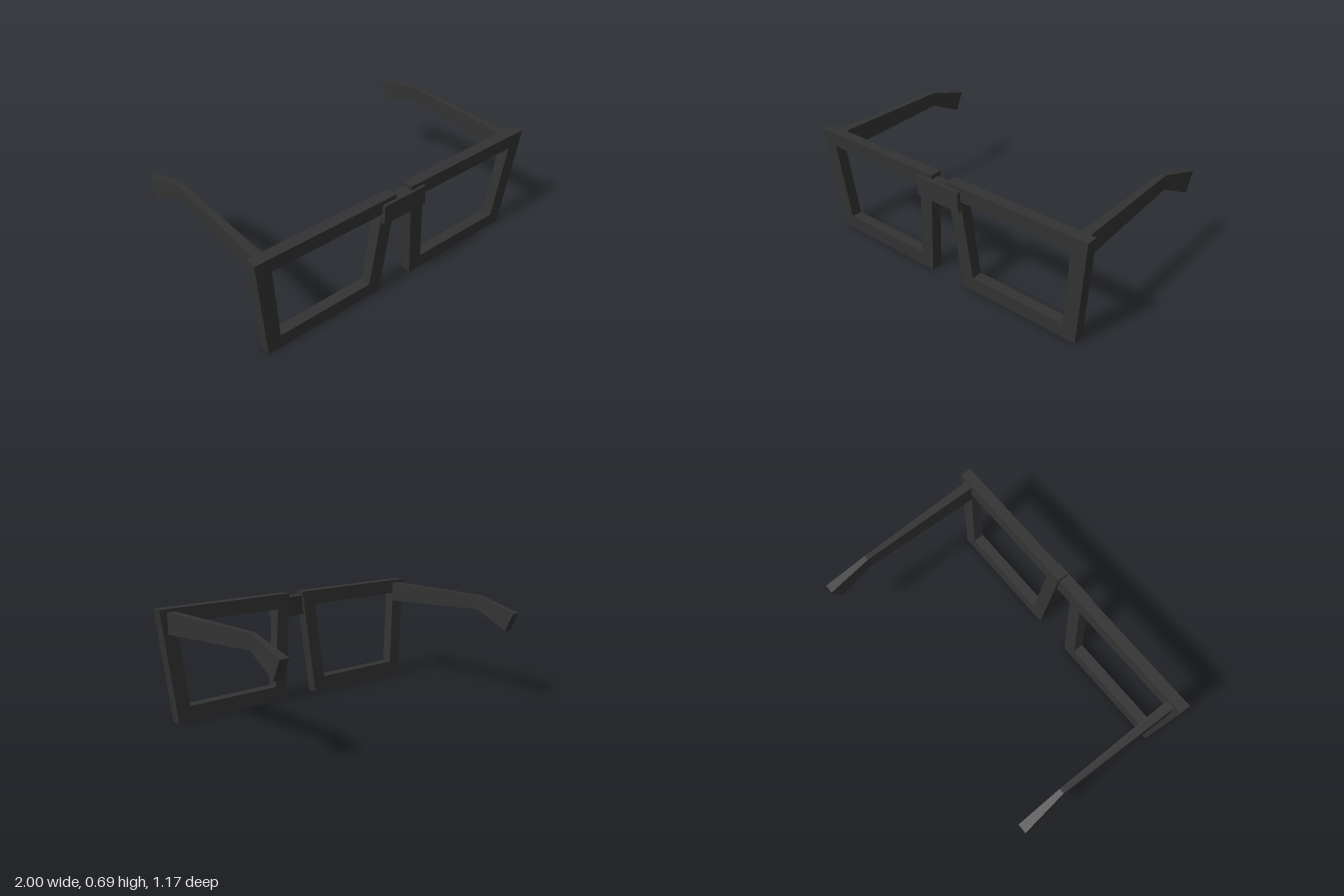
import * as THREE from 'three';

const frameBlack = new THREE.MeshStandardMaterial({ color: 0x333333 });
frameBlack.name = 'frame black';

const HEIGHT = 0.695;
const LEAN = 0.04 / HEIGHT; // the rims lean forward towards the top

function part(name, geometry) {
  const mesh = new THREE.Mesh(geometry, frameBlack);
  mesh.name = name;
  return mesh;
}

// Mirrored outlines are reversed so that they always run counter-clockwise
function outline(points, side) {
  const result = points.map(([x, y]) => new THREE.Vector2(side * x, y));
  return side > 0 ? result : result.reverse();
}

// Tapered rim with an open lens hole, sheared forward
function rim(side) {
  const shape = new THREE.Shape(outline([[0.126, 0], [0.929, 0], [1, HEIGHT], [0.055, HEIGHT]], side));
  shape.holes.push(new THREE.Path(outline([[0.207, 0.095], [0.847, 0.095], [0.896, 0.602], [0.154, 0.602]], side)));
  const geometry = new THREE.ExtrudeGeometry(shape, { depth: 0.07, bevelEnabled: false });
  const p = geometry.attributes.position;
  for (let i = 0; i < p.count; i++) p.setZ(i, p.getZ(i) + 0.46 + LEAN * p.getY(i));
  geometry.computeVertexNormals();
  return geometry;
}

// Temple arm lofted through rectangular sections from hinge to ear tip
function temple(side) {
  const inner = 0.894;
  const sections = [
    { outer: 0.952, bottom: [0.544, 0.505], top: [0.675, 0.505] },
    { outer: 0.927, bottom: [0.583, -0.3], top: [0.675, -0.3] },
    { outer: 0.954, bottom: [0.471, -0.53], top: [0.591, -0.587] },
  ];
  const vertices = [];
  for (const { outer, bottom, top } of sections) {
    const [x0, x1] = side > 0 ? [inner, outer] : [-outer, -inner];
    vertices.push(x0, ...bottom, x1, ...bottom, x1, ...top, x0, ...top);
  }
  const index = [0, 1, 2, 0, 2, 3];
  for (let s = 0; s < sections.length - 1; s++) {
    for (let i = 0; i < 4; i++) {
      const a = s * 4 + i, b = s * 4 + (i + 1) % 4;
      index.push(a, b + 4, b, a, a + 4, b + 4);
    }
  }
  const e = (sections.length - 1) * 4;
  index.push(e, e + 2, e + 1, e, e + 3, e + 2);

  const indexed = new THREE.BufferGeometry();
  indexed.setAttribute('position', new THREE.Float32BufferAttribute(vertices, 3));
  indexed.setIndex(index);
  const geometry = indexed.toNonIndexed();
  geometry.computeVertexNormals();
  return geometry;
}

export function createModel() {
  const model = new THREE.Group();
  model.name = 'glasses';

  for (const [label, side] of [['left', 1], ['right', -1]]) {
    model.add(part(label + 'Rim', rim(side)), part(label + 'Temple', temple(side)));
  }

  // Block bridging the two rims
  const bridge = part('bridge', new THREE.BoxGeometry(0.31, 0.126, 0.074));
  bridge.position.set(0, 0.605, 0.55);
  model.add(bridge);

  return model;
}
